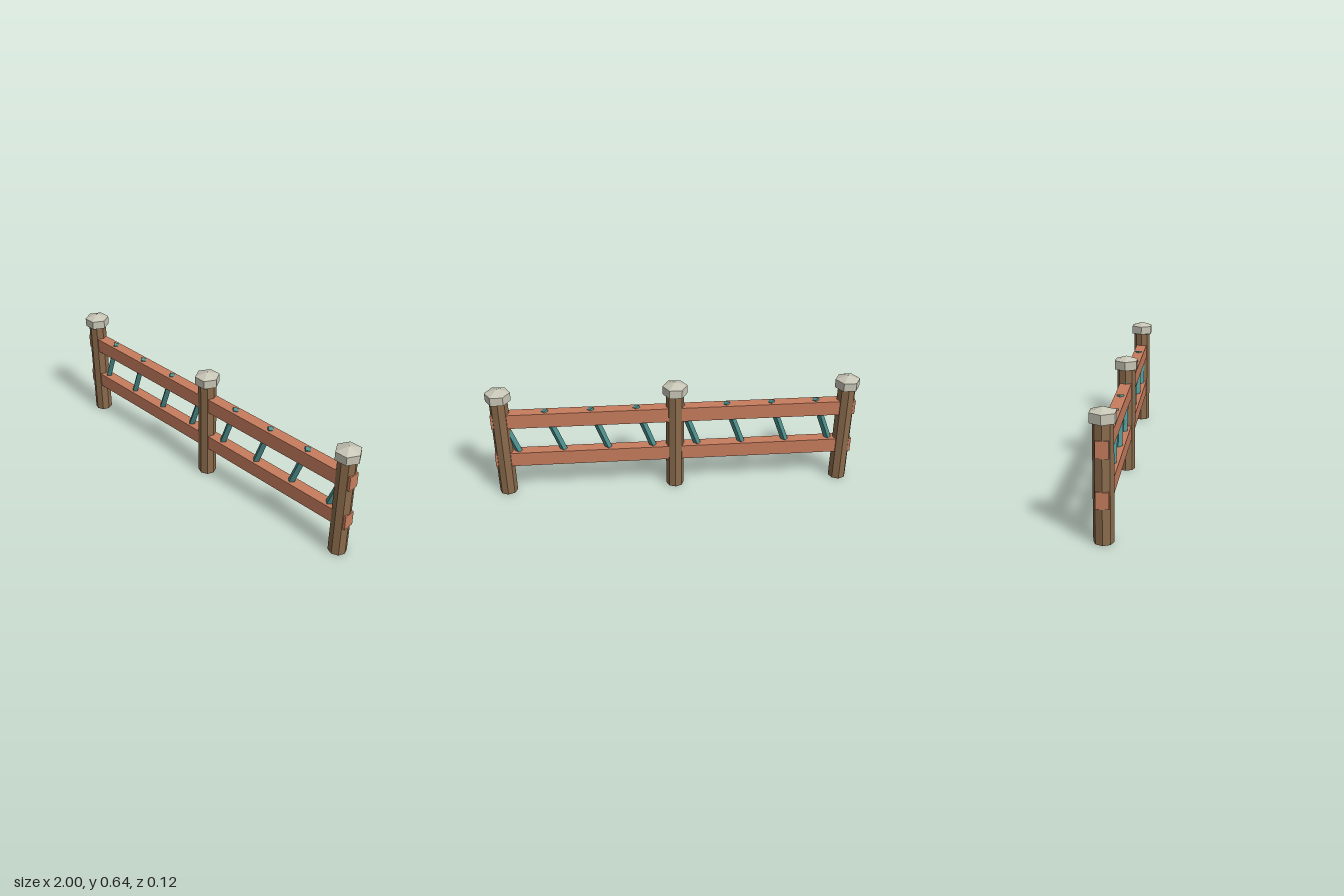
import * as THREE from 'three';

const mat = (name, color) => {
  const m = new THREE.MeshStandardMaterial({ color });
  m.name = name;
  return m;
};

// Faceted copy of a geometry: every face gets its own normal
const faceted = (geometry) => {
  const g = geometry.toNonIndexed();
  g.computeVertexNormals();
  return g;
};

export function createModel() {
  const fence = new THREE.Group();
  fence.name = 'fence';
  const postWood = mat('brown post wood', 0x8b6b4c);
  const railWood = mat('terracotta rail wood', 0xc77d5e);
  const stone = mat('pale stone', 0xc8c6b6);
  const teal = mat('teal bar', 0x4c8f8c);

  const add = (name, geometry, material, x, y) => {
    const mesh = new THREE.Mesh(geometry, material);
    mesh.name = name;
    mesh.position.set(x, y, 0);
    fence.add(mesh);
    return mesh;
  };

  // Octagonal posts with hexagonal pointed caps
  const postGeo = faceted(new THREE.CylinderGeometry(0.049, 0.049, 0.572, 8));
  const capProfile = [[0, 0.568], [0.045, 0.568], [0.067, 0.574], [0.067, 0.621], [0, 0.643]]
    .map(([r, y]) => new THREE.Vector2(r, y));
  const capGeo = faceted(new THREE.LatheGeometry(capProfile, 6, Math.PI / 2));
  for (const [side, x] of [['right', -0.933], ['middle', 0], ['left', 0.933]]) {
    add(`${side}Post`, postGeo, postWood, x, 0.286);
    add(`${side}PostCap`, capGeo, stone, x, 0);
  }

  // Two rails running through all the posts
  const railGeo = new THREE.BoxGeometry(1.964, 0.082, 0.062);
  add('lowerRail', railGeo, railWood, 0, 0.218);
  add('upperRail', railGeo, railWood, 0, 0.457);

  // Slanted square bars, evenly spaced, poking out of both rails
  const barGeo = faceted(new THREE.CylinderGeometry(0.019, 0.019, 0.355, 4));
  for (let i = 0; i < 8; i++) {
    add(`slantedBar${i + 1}`, barGeo, teal, -0.825 + i * 0.244, 0.338).rotation.z = -0.35;
  }

  return fence;
}
